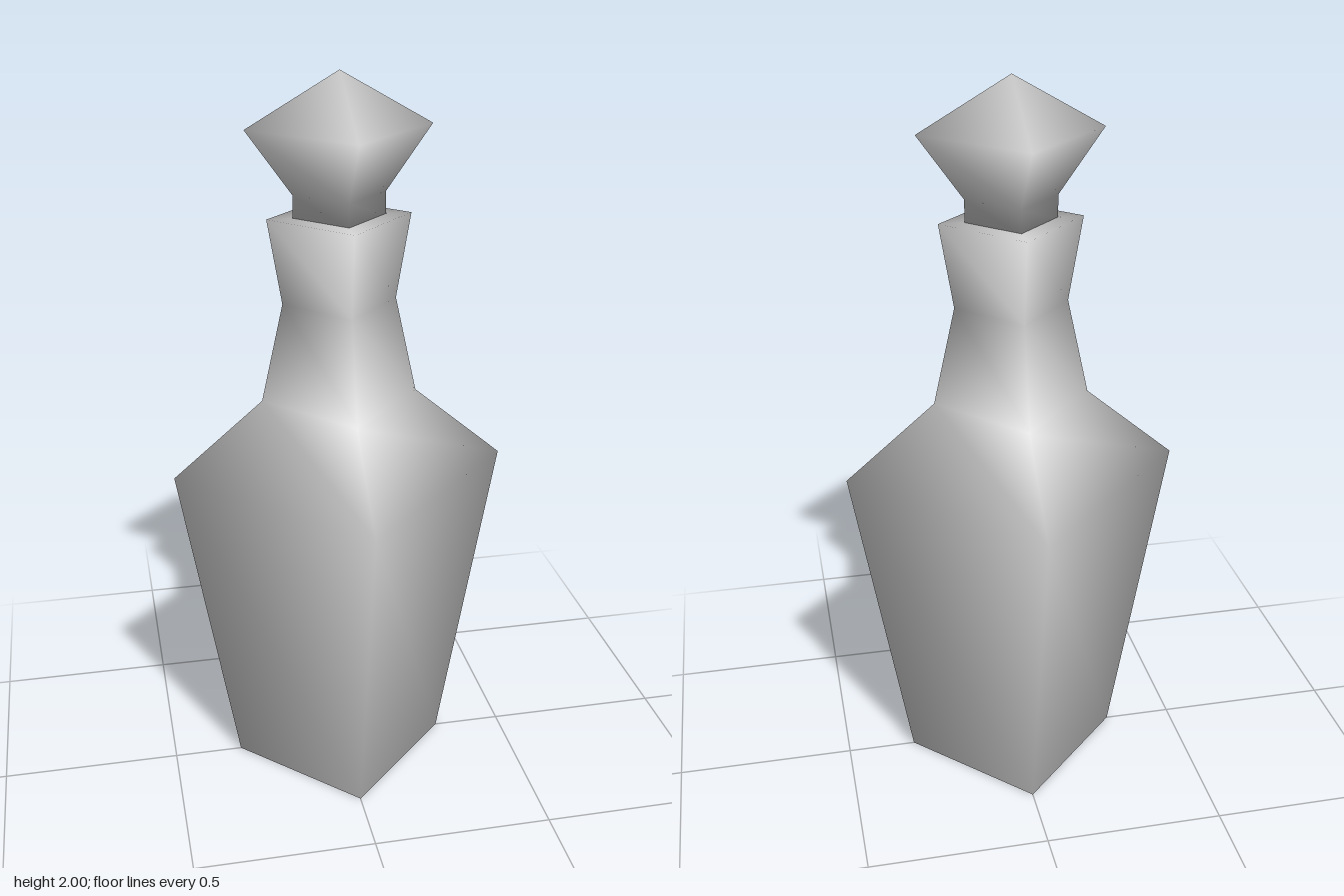
import * as THREE from 'three';
import { mergeVertices } from 'three/addons/utils/BufferGeometryUtils.js';

// Four-sided smooth body from rings of [half width x, y, half depth z]
function diamondLathe(rings) {
  const profile = rings.map(([rx, y]) => new THREE.Vector2(rx, y));
  let geo = new THREE.LatheGeometry(profile, 4);
  const pos = geo.attributes.position;
  for (let i = 0; i < pos.count; i++) {
    const [rx, , rz = rx] = rings[i % rings.length];
    if (rx > 0) pos.setZ(i, pos.getZ(i) * rz / rx);
  }
  // weld the seam so shading is smooth all round
  geo.deleteAttribute('uv');
  geo.deleteAttribute('normal');
  geo = mergeVertices(geo, 1e-4);
  geo.computeVertexNormals();
  return geo;
}

export function createModel() {
  const group = new THREE.Group();
  group.name = 'decanter';
  const glass = new THREE.MeshStandardMaterial({ color: 0xcccccc });
  glass.name = 'pale grey glass';

  const addPart = (name, rings) => {
    const mesh = new THREE.Mesh(diamondLathe(rings), glass);
    mesh.name = name;
    group.add(mesh);
  };

  // Closed base, tapering body, shoulder, waisted neck and flared lip
  addPart('bottle', [
    [0, 0], [0.305, 0], [0.462, 0.92], [0.214, 1.13, 0.243],
    [0.154, 1.4, 0.165], [0.192, 1.63, 0.194], [0, 1.63],
  ]);

  // Plug with a pointed faceted head
  addPart('stopper', [
    [0, 1.625], [0.123, 1.625], [0.123, 1.69], [0.244, 1.86], [0, 2],
  ]);

  return group;
}
